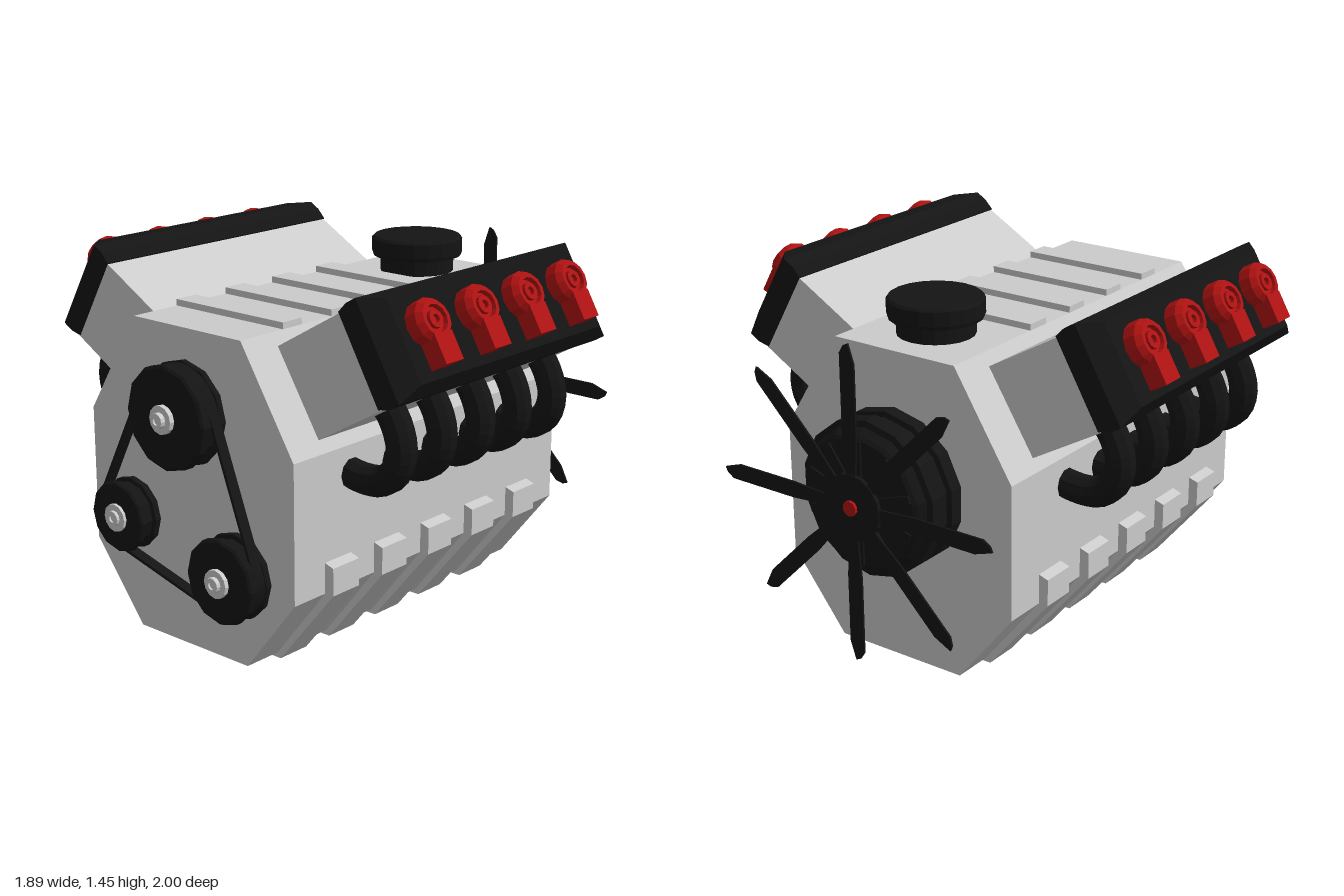
import * as THREE from 'three';

const mat = (color) => new THREE.MeshStandardMaterial({ color, flatShading: true, side: THREE.DoubleSide });
const grey = mat(0xcccccc), black = mat(0x141414), red = mat(0xb01212);

function add(parent, name, geo, material, x = 0, y = 0, z = 0) {
  const m = new THREE.Mesh(geo, material);
  m.name = name;
  m.position.set(x, y, z);
  parent.add(m);
  return m;
}

const box = (w, h, d) => new THREE.BoxGeometry(w, h, d);

// Extrude an outline given as [x, y] pairs from z0 to z1
function prism(points, z0, z1) {
  const shape = new THREE.Shape(points.map(([x, y]) => new THREE.Vector2(x, y)));
  return new THREE.ExtrudeGeometry(shape, { depth: z1 - z0, bevelEnabled: false }).translate(0, 0, z0);
}

// Half outline mirrored to a closed symmetric outline
const mirrored = (half) => [...half, ...half.map(([x, y]) => [-x, y]).reverse()];

// Lathe of [radius, height] pairs whose axis points along +z
function turned(profile, sides) {
  return new THREE.LatheGeometry(profile.map(([r, h]) => new THREE.Vector2(r, h)), sides).rotateX(Math.PI / 2);
}

// Pulley wheels: x, y, radius, front z of wheel, front z of nut
const PULLEYS = [
  [0, 0.945, 0.2, 0.96, 1.0],
  [-0.3, 0.49, 0.14, 0.94, 0.965],
  [0.25, 0.375, 0.165, 0.95, 0.985],
];

function addPulley(parent, [x, y, r, front, nut]) {
  const g = new THREE.Group();
  g.name = 'pulley';
  g.position.set(x, y, 0);
  parent.add(g);
  const wheel = [[0, 0.83], [r * 0.94, 0.83], [r, 0.845], [r, 0.868], [r * 0.9, 0.872],
    [r * 0.9, 0.912], [r, 0.916], [r, front - 0.008], [r * 0.95, front], [0, front]];
  add(g, 'pulleyWheel', turned(wheel, 12), black);
  const mid = (front + nut) / 2;
  add(g, 'pulleyNut', turned([[0.055, front - 0.01], [0.055, mid], [0.03, mid], [0.03, nut], [0.015, nut],
    [0.015, nut - 0.008], [0, nut - 0.008]], 12), grey);
}

// Belt outline: hull of the wheels, found from the farthest circle in each direction
function beltOutline(inset) {
  const pts = [];
  for (let i = 0; i < 72; i++) {
    const a = (i / 72) * Math.PI * 2, c = Math.cos(a), s = Math.sin(a);
    const reach = ([x, y, r]) => x * c + y * s + r * 0.96;
    const [x, y, r] = PULLEYS.reduce((p, q) => (reach(q) > reach(p) ? q : p));
    pts.push(new THREE.Vector2(x + c * (r * 0.96 - inset), y + s * (r * 0.96 - inset)));
  }
  return pts;
}

// Cylinder bank: local frame leans outward, x along the bank, y across it
function addBank(parent, side) {
  const half = new THREE.Group();
  half.name = side > 0 ? 'leftBank' : 'rightBank';
  half.position.z = 0.06;
  half.rotation.y = side > 0 ? 0 : Math.PI;
  parent.add(half);
  const bank = new THREE.Group();
  bank.name = 'cylinderHead';
  bank.rotation.z = Math.PI / 6;
  half.add(bank);
  add(bank, 'headBlock', box(0.51, 0.365, 1.24), grey, 0.955, 0.717);

  // Valve cover: a box flared above the joint and tapered at its outer face
  const cover = box(0.155, 0.365, 1.245, 3, 1, 1).clone();
  const geo = new THREE.BoxGeometry(0.155, 0.365, 1.245, 3, 1, 1);
  cover.dispose();
  const p = geo.attributes.position;
  const steps = [[-0.0775, 1, 1], [-0.03, 1.08, 1], [0.02, 1.08, 1], [0.0775, 0.88, 0.87]];
  for (let i = 0; i < p.count; i++) {
    const [x, sy, sz] = steps[Math.round((p.getX(i) / 0.155 + 0.5) * 3)];
    p.setXYZ(i, x, p.getY(i) * sy, p.getZ(i) * sz);
  }
  add(bank, 'valveCover', geo, black, 1.283, 0.722);

  // Spark plug caps with a square lead pointing down the cover
  for (let i = 0; i < 4; i++) {
    const cap = new THREE.Group();
    cap.name = 'plugCap';
    cap.position.set(1.35, 0.757, (i - 1.5) * 0.276 + 0.005 * side);
    bank.add(cap);
    const ring = turned([[0.085, 0], [0.085, 0.06], [0.068, 0.083], [0.052, 0.083], [0.048, 0.065],
      [0.034, 0.065], [0.034, 0.08], [0.016, 0.08], [0.014, 0.065], [0, 0.065]], 12).rotateY(Math.PI / 2);
    add(cap, 'plugRing', ring, red);
    add(cap, 'plugLead', box(0.085, 0.11, 0.095), red, 0.042, -0.107);
  }

  // Exhaust pipes curling from the head back into the block
  const path = new THREE.CatmullRomCurve3(
    [[0.65, 1.08], [0.725, 0.99], [0.757, 0.89], [0.735, 0.805], [0.675, 0.755], [0.6, 0.743], [0.49, 0.755]]
      .map(([x, y]) => new THREE.Vector3(x, y, 0)));
  for (let i = 0; i < 5; i++) {
    add(half, 'exhaustPipe', new THREE.TubeGeometry(path, 18, 0.058, 10), black, 0, 0, (i - 2) * 0.2285 + 0.015 * side);
  }
}

// Fan at the back: eight thin blades with slanted tips
function addFan(parent) {
  const fan = new THREE.Group();
  fan.name = 'fan';
  fan.position.set(0, 0.735, 0);
  parent.add(fan);
  add(fan, 'fanAxle', turned([[0.06, -0.975], [0.06, -0.93]], 12), black);
  add(fan, 'fanHub', turned([[0, -0.988], [0.13, -0.988], [0.13, -0.972], [0, -0.972]], 16), black);
  add(fan, 'fanNut', turned([[0, -1], [0.03, -1], [0.03, -0.98]], 10), red);
  const blade = prism([[-0.018, 0.08], [0.018, 0.08], [0.034, 0.28], [0.034, 0.585], [0.015, 0.615],
    [-0.005, 0.625], [-0.03, 0.55], [-0.03, 0.28]], -0.984, -0.976);
  for (let i = 0; i < 8; i++) add(fan, 'fanBlade', blade, black).rotation.z = (i * Math.PI) / 4;
}

export function createModel() {
  const engine = new THREE.Group();
  engine.name = 'engine';

  // Block with ribs under it and across its top
  add(engine, 'engineBlock', prism(mirrored([[0.285, 0.02], [0.525, 0.325], [0.525, 0.86], [0.275, 1.26]]), -0.73, 0.84), grey);
  const rib = mirrored([[0.3, 0], [0.565, 0.325], [0.565, 0.432], [0.525, 0.445]]);
  for (let i = 0; i < 5; i++) {
    const z = 0.608 - i * 0.2735;
    add(engine, 'sumpRib', prism(rib, z - 0.071, z + 0.071), grey);
  }
  for (let i = 0; i < 4; i++) add(engine, 'topRib', box(0.55, 0.045, 0.1), grey, 0, 1.2625, -0.21 + i * 0.261);

  // Filler cap
  const filler = [[0.15, 1.25], [0.15, 1.32], [0.18, 1.325], [0.185, 1.34], [0.185, 1.395], [0.175, 1.405], [0, 1.405]];
  add(engine, 'fillerCap', new THREE.LatheGeometry(filler.map(([r, y]) => new THREE.Vector2(r, y)), 20), black, 0, 0, -0.475);

  addBank(engine, 1);
  addBank(engine, -1);

  // Front pulleys and belt
  PULLEYS.forEach((p) => addPulley(engine, p));
  const belt = new THREE.Shape(beltOutline(0));
  belt.holes.push(new THREE.Path(beltOutline(0.012)));
  add(engine, 'belt', new THREE.ExtrudeGeometry(belt, { depth: 0.045, bevelEnabled: false }), black, 0, 0, 0.87);

  // Stepped drum and fan at the back
  const drum = [[0, -0.94], [0.25, -0.94], [0.265, -0.93], [0.285, -0.9], [0.308, -0.895], [0.308, -0.83],
    [0.288, -0.825], [0.288, -0.79], [0.308, -0.785], [0.308, -0.73]];
  add(engine, 'rearDrum', turned(drum, 14), black, 0, 0.735, 0);
  for (let i = 0; i < 10; i++) {
    const spoke = add(engine, 'drumRidge', box(0.03, 0.16, 0.012).translate(0, 0.165, 0), black, 0, 0.735, -0.942);
    spoke.rotation.z = (i * Math.PI) / 5;
  }
  addFan(engine);
  return engine;
}
